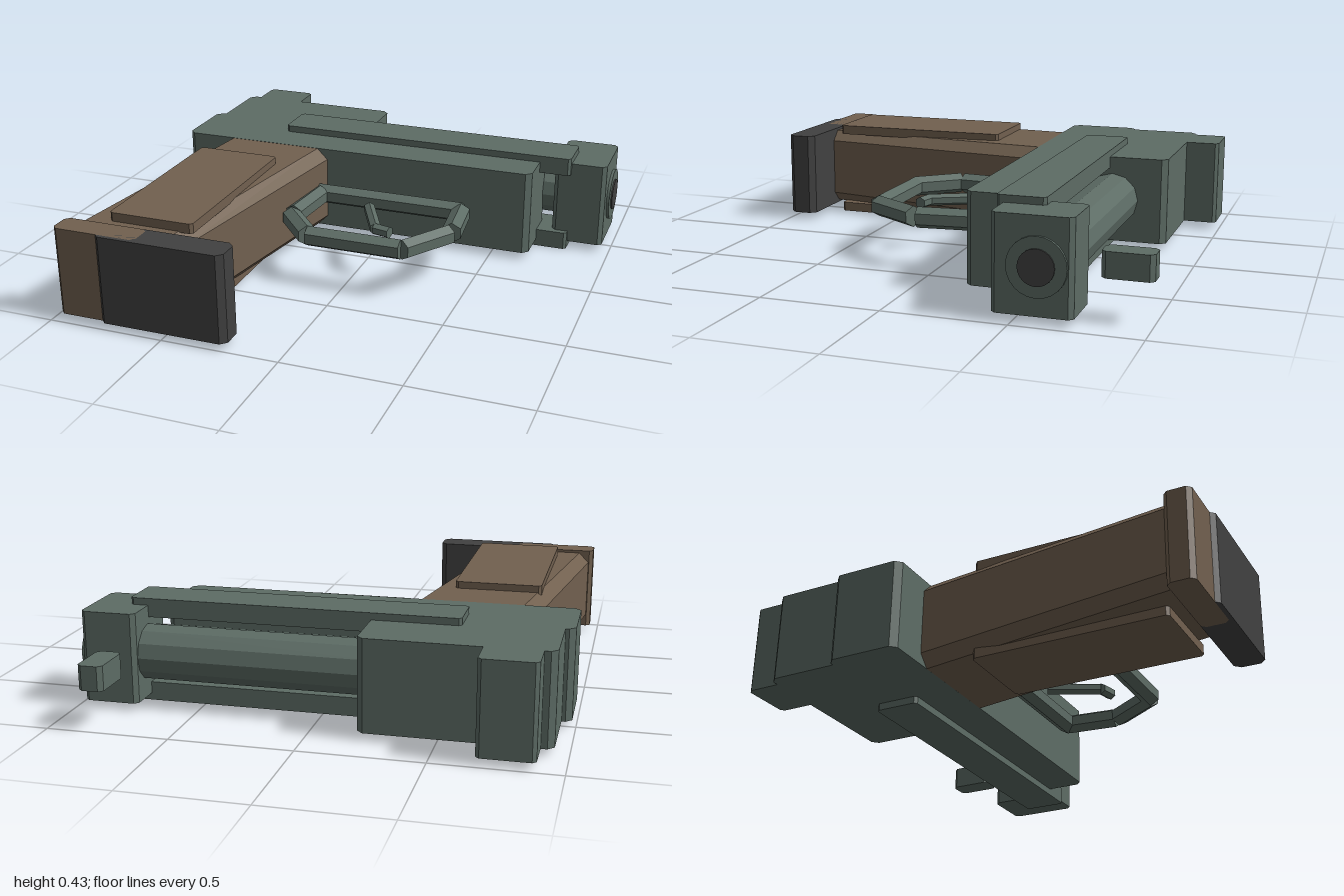
import * as THREE from 'three';

const material = (name, color) => {
  const m = new THREE.MeshStandardMaterial({ color });
  m.name = name;
  return m;
};

export function createModel() {
  const green = material('greenMetal', 0x5d6c65);
  const brown = material('brownGrip', 0x71604f);
  const dark = material('darkMetal', 0x414141);
  const group = new THREE.Group();
  const MID = 0.217; // centre of the thickness

  const add = (name, geometry, mat) => {
    const mesh = new THREE.Mesh(geometry, mat);
    mesh.name = name;
    group.add(mesh);
    return mesh;
  };

  // Rectangle with cut corners
  const cutRect = (x0, x1, y0, y1, c) => new THREE.Shape([
    [x0 + c, y0], [x1 - c, y0], [x1, y0 + c], [x1, y1 - c],
    [x1 - c, y1], [x0 + c, y1], [x0, y1 - c], [x0, y0 + c],
  ].map(([x, y]) => new THREE.Vector2(x, y)));

  // Slab lying flat, outlined in x and z, thick in y
  const slab = (name, x0, x1, z0, z1, y0, y1, mat, c = 0.025) => {
    const g = new THREE.ExtrudeGeometry(cutRect(x0, x1, -z1, -z0, c), { depth: y1 - y0, bevelEnabled: false });
    g.rotateX(-Math.PI / 2).translate(0, y0, 0);
    return add(name, g, mat);
  };

  // Faceted rod between two points given as [x, z]
  const rod = (name, a, b, radius, sides, mat) => {
    const dx = b[0] - a[0], dz = b[1] - a[1];
    const flat = new THREE.CylinderGeometry(radius, radius, Math.hypot(dx, dz), sides).toNonIndexed();
    flat.computeVertexNormals();
    // Axis to x with a corner pointing up, then turn about y
    flat.rotateY(Math.PI / 2).rotateZ(-Math.PI / 2).rotateY(-Math.atan2(dz, dx));
    flat.translate((a[0] + b[0]) / 2, MID, (a[1] + b[1]) / 2);
    return add(name, flat, mat);
  };

  // Body
  slab('frame', -0.985, 0.672, -0.53, -0.22, 0.03, 0.405, green);
  slab('receiver', -0.945, -0.197, -0.838, -0.5, 0.03, 0.405, green);
  slab('rearSight', -0.895, -0.673, -0.985, -0.81, 0.03, 0.405, green, 0.015);
  slab('muzzleBlock', 0.735, 0.965, -0.732, -0.42, 0.03, 0.405, green, 0.018);
  slab('frontSight', 0.76, 0.862, -1, -0.803, 0.167, 0.268, green, 0.018);
  slab('rightRail', -0.555, 0.81, -0.585, -0.392, 0, 0.078, green, 0.012);
  slab('leftRail', -0.555, 0.81, -0.585, -0.392, 0.356, 0.434, green, 0.012);

  // Barrel and muzzle
  rod('barrel', [-0.25, -0.597], [0.76, -0.597], 0.115, 12, green);
  rod('muzzleRing', [0.95, -0.597], [0.977, -0.597], 0.115, 24, green);
  rod('bore', [0.95, -0.597], [0.983, -0.597], 0.07, 24, dark);

  // Grip: octagonal bar, sheared backwards and slightly tapered
  const grip = new THREE.ExtrudeGeometry(cutRect(-0.26, 0.26, -0.187, 0.187, 0.048), { depth: 1, bevelEnabled: false });
  const p = grip.attributes.position;
  for (let i = 0; i < p.count; i++) {
    const t = p.getZ(i);
    p.setXYZ(i,
      p.getX(i) * (1 - 0.06 * t) - 0.54 - 0.162 * t,
      p.getY(i) * (1 - 0.06 * t) + MID,
      -0.23 + 1.12 * t);
  }
  grip.computeVertexNormals();
  add('grip', grip, brown);
  slab('gripHeel', -0.965, -0.6, 0.872, 0.982, 0.03, 0.405, brown, 0.018);
  slab('rightGripPanel', -0.8, -0.432, 0.01, 0.82, 0.003, 0.045, brown, 0.012);
  slab('leftGripPanel', -0.8, -0.432, 0.01, 0.82, 0.389, 0.431, brown, 0.012);
  slab('magazineBase', -0.775, -0.22, 0.872, 1, 0.03, 0.405, dark);

  // Trigger guard and trigger
  const guard = [
    [[-0.295, -0.152], [0.385, -0.152]],
    [[0.383, -0.143], [0.407, 0.083]],
    [[0.4, 0.103], [0.263, 0.318]],
    [[0.257, 0.318], [-0.158, 0.318]],
    [[-0.16, 0.316], [-0.305, 0.148]],
    [[-0.302, 0.13], [-0.28, -0.13]],
  ];
  guard.forEach(([a, b], i) => rod(`triggerGuard${i + 1}`, a, b, 0.045, 6, green));
  rod('trigger', [-0.018, -0.06], [0.088, 0.152], 0.026, 6, green);
  rod('triggerTip', [0.085, 0.153], [0.158, 0.17], 0.026, 6, green);

  return group;
}
